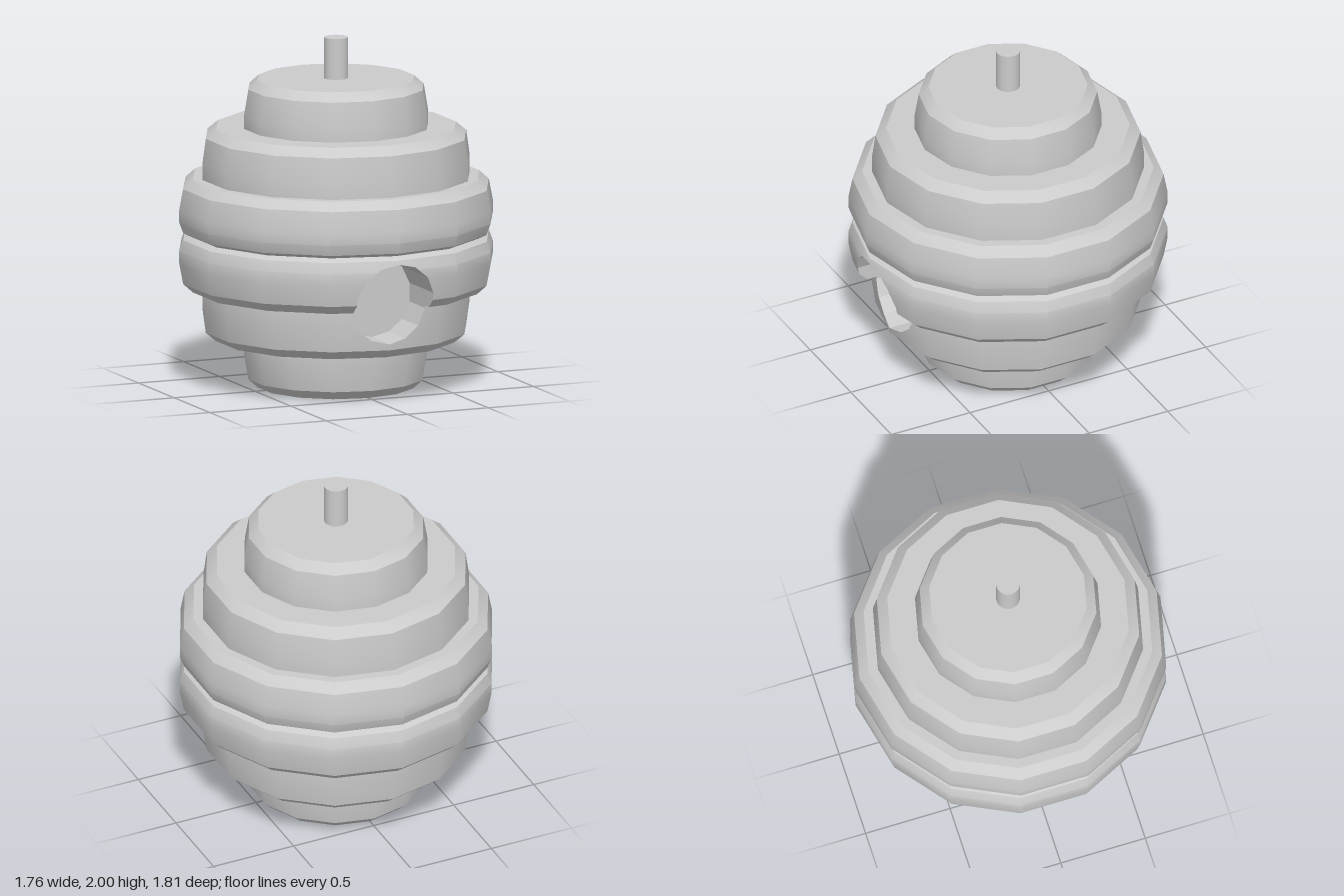
import * as THREE from 'three';
import { toCreasedNormals } from 'three/addons/utils/BufferGeometryUtils.js';

const SIDES = 14;
const HEIGHT = 1.765;
const HOLE = { y: 0.6, radius: 0.24, floor: 0.5 };

// Outward normals of the sides of the entrance prism
const apothem = HOLE.radius * Math.cos(Math.PI / SIDES);
const planes = Array.from({ length: SIDES }, (_, i) => {
  const a = Math.PI / 2 + ((i + 0.5) * 2 * Math.PI) / SIDES;
  return [Math.cos(a), Math.sin(a)];
});
const dist = (p, [nx, ny]) => p[0] * nx + (p[1] - HOLE.y) * ny - apothem;

// Split a convex polygon by one prism side; corners are [x, y, z, nx, ny, nz]
function split(poly, plane) {
  const inside = [], outside = [];
  poly.forEach((a, i) => {
    const b = poly[(i + 1) % poly.length];
    const da = dist(a, plane), db = dist(b, plane);
    if (da <= 1e-9) inside.push(a);
    if (da >= -1e-9) outside.push(a);
    if ((da > 1e-9 && db < -1e-9) || (da < -1e-9 && db > 1e-9)) {
      const m = a.map((v, k) => v + (b[k] - v) * (da / (da - db)));
      inside.push(m);
      outside.push(m);
    }
  });
  return [inside, outside];
}

function fan(target, poly) {
  for (let i = 1; i + 1 < poly.length; i++) target.push(poly[0], poly[i], poly[i + 1]);
}

function toGeometry(corners, withNormals) {
  const g = new THREE.BufferGeometry();
  const attr = (from) =>
    new THREE.Float32BufferAttribute(corners.flatMap((c) => c.slice(from, from + 3)), 3);
  g.setAttribute('position', attr(0));
  if (withNormals) g.setAttribute('normal', attr(3));
  else g.computeVertexNormals();
  return g;
}

// Stacked bands: lower half of the profile, mirrored for the upper half
function bandGeometry() {
  const lower = [
    [0, 0], [0.45, 0], [0.505, 0.05], [0.53, 0.2], [0.53, 0.275],
    [0.69, 0.275], [0.75, 0.325], [0.77, 0.47], [0.77, 0.56],
    [0.825, 0.56], [0.88, 0.61], [0.903, 0.73], [0.903, 0.8], [0.88, 0.862],
  ];
  const upper = lower.map(([r, y]) => [r, HEIGHT - y]).reverse();
  const profile = [...lower, [0.84, HEIGHT / 2], ...upper];
  const lathe = new THREE.LatheGeometry(profile.map(([r, y]) => new THREE.Vector2(r, y)), SIDES);
  return toCreasedNormals(lathe, 0.5);
}

// Cut the entrance out of the bands and line it with walls
function cutEntrance(geometry) {
  const pos = geometry.attributes.position, nor = geometry.attributes.normal;
  const shell = [], walls = [];
  const corner = (i) => [
    pos.getX(i), pos.getY(i), pos.getZ(i), nor.getX(i), nor.getY(i), nor.getZ(i),
  ];
  for (let t = 0; t < pos.count; t += 3) {
    let rest = [corner(t), corner(t + 1), corner(t + 2)];
    const touches = rest.some((c) => c[2] > 0.6) &&
      !planes.some((p) => rest.every((c) => dist(c, p) >= -1e-9));
    if (!touches) {
      shell.push(...rest);
      continue;
    }
    for (const plane of planes) {
      const [inside, outside] = split(rest, plane);
      fan(shell, outside);
      rest = inside;
      if (rest.length < 3) break;
    }
    // Cut edges on a prism side run back to the entrance floor
    if (rest.length < 3) continue;
    rest.forEach((a, i) => {
      const b = rest[(i + 1) % rest.length];
      if (!planes.some((p) => Math.abs(dist(a, p)) < 1e-6 && Math.abs(dist(b, p)) < 1e-6)) return;
      if (Math.hypot(a[0] - b[0], a[1] - b[1]) < 1e-6) return;
      const back = (c) => [c[0], c[1], HOLE.floor];
      fan(walls, [a, b, back(b), back(a)]);
    });
  }
  return { shell: toGeometry(shell, true), walls: toGeometry(walls, false) };
}

export function createModel() {
  const model = new THREE.Group();
  model.name = 'beehive';
  const material = new THREE.MeshStandardMaterial({ color: 0xcccccc });
  const add = (name, geometry) => {
    const mesh = new THREE.Mesh(geometry, material);
    mesh.name = name;
    model.add(mesh);
    return mesh;
  };

  // Hive body with its entrance
  const { shell, walls } = cutEntrance(bandGeometry());
  add('hiveBands', shell);
  add('entranceWalls', walls);
  const floor = add('entranceBack', new THREE.CircleGeometry(HOLE.radius, SIDES, Math.PI / 2));
  floor.position.set(0, HOLE.y, HOLE.floor);

  // Hanging stem
  const stem = add('stem', new THREE.CylinderGeometry(0.068, 0.068, 0.26, 32));
  stem.position.y = 1.87;

  return model;
}
